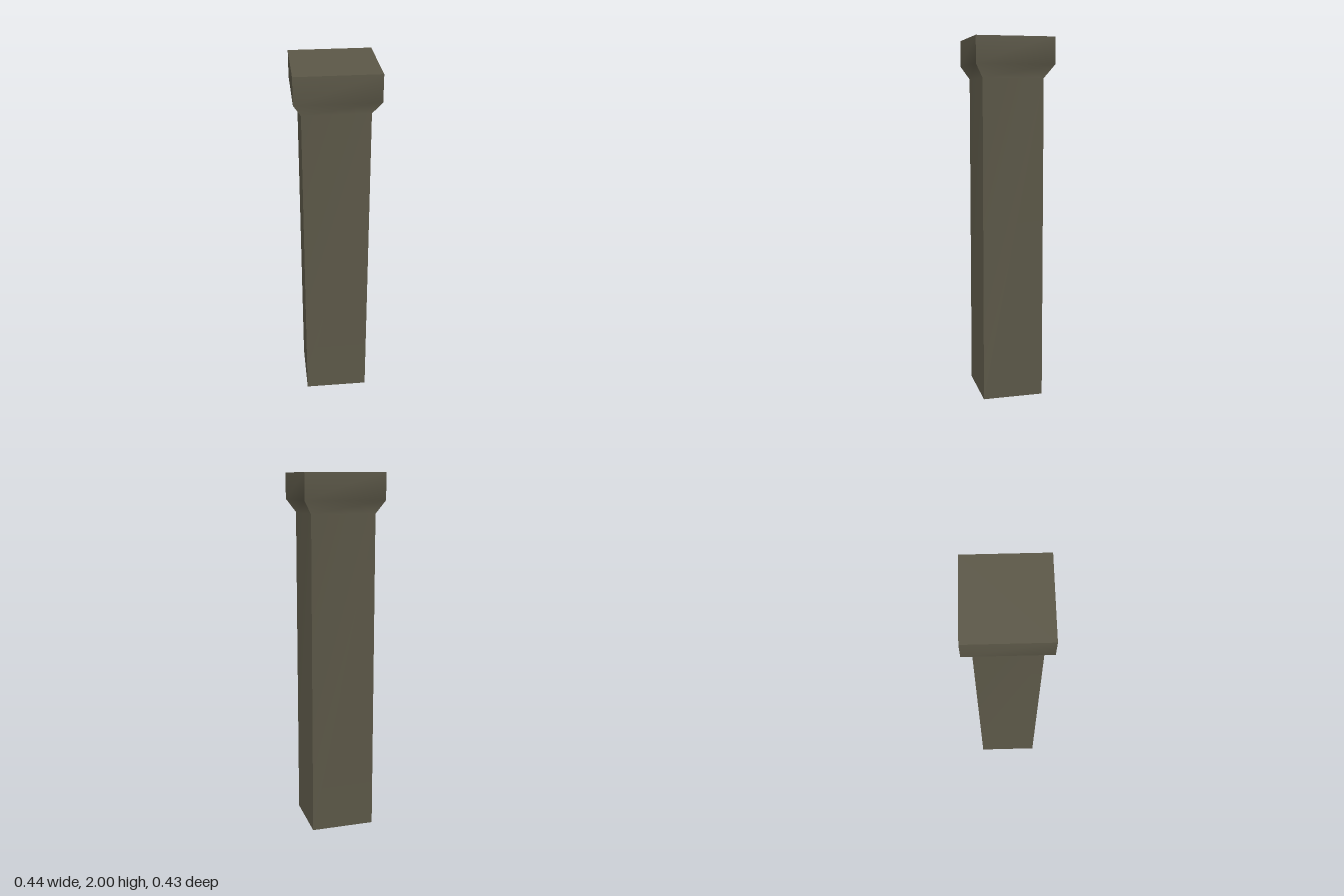
import * as THREE from 'three';

// Square column rings, bottom to top: height, x range, z range
const RINGS = [
  { y: 0, x: [-0.181, 0.175], z: [-0.168, 0.172] },
  { y: 1.785, x: [-0.181, 0.173], z: [-0.165, 0.17] },
  { y: 1.857, x: [-0.221, 0.22], z: [-0.215, 0.215] },
  { y: 2, x: [-0.221, 0.22], z: [-0.215, 0.215] },
];

// Ring corners, counter-clockwise seen from above, starting front left
const corners = ({ y, x, z }) => [
  [x[0], y, z[1]], [x[1], y, z[1]], [x[1], y, z[0]], [x[0], y, z[0]],
];

function surface(positions, indices) {
  const geometry = new THREE.BufferGeometry();
  geometry.setAttribute('position', new THREE.Float32BufferAttribute(positions.flat(), 3));
  geometry.setIndex(indices);
  geometry.computeVertexNormals();
  return geometry;
}

// One side of the column: smooth up the profile, sharp at the corners
function sideGeometry(side) {
  const positions = [], indices = [];
  RINGS.forEach((ring, r) => {
    const c = corners(ring);
    positions.push(c[side], c[(side + 1) % 4]);
    if (r > 0) {
      const a = 2 * (r - 1);
      indices.push(a, a + 1, a + 3, a, a + 3, a + 2);
    }
  });
  return surface(positions, indices);
}

export function createModel() {
  const column = new THREE.Group();
  column.name = 'column';
  const stone = new THREE.MeshStandardMaterial({ color: 0x5c5848, side: THREE.DoubleSide });
  stone.name = 'olive stone';

  // Four walls, open at the foot
  ['frontWall', 'leftWall', 'backWall', 'rightWall'].forEach((name, side) => {
    const wall = new THREE.Mesh(sideGeometry(side), stone);
    wall.name = name;
    column.add(wall);
  });

  // Flat top of the capital
  const top = new THREE.Mesh(surface(corners(RINGS[3]), [0, 1, 2, 0, 2, 3]), stone);
  top.name = 'capitalTop';
  column.add(top);

  return column;
}
